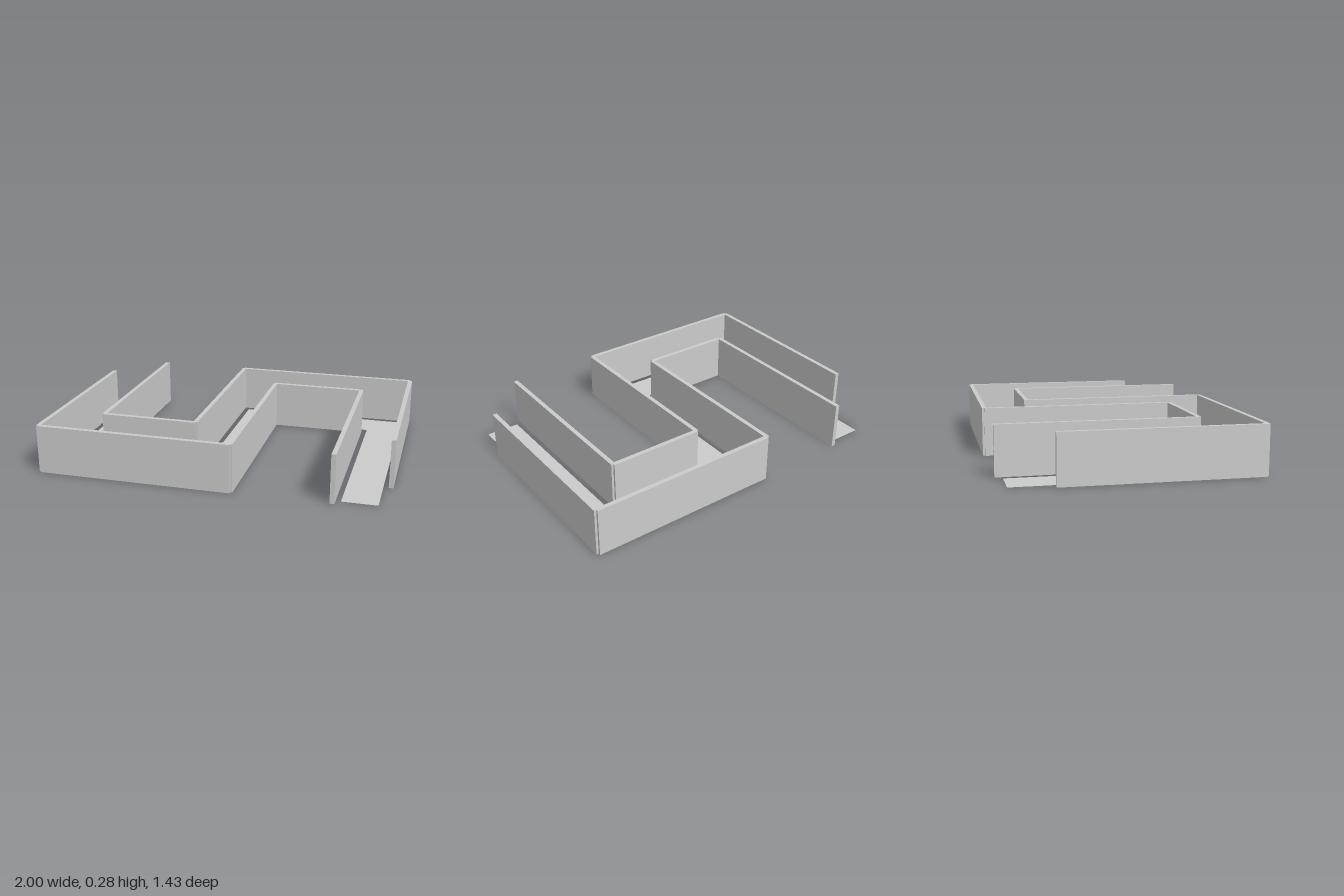
import * as THREE from 'three';

const HEIGHT = 0.283;
const THICK = 0.026;
const LEG_X = 0.845;   // centre line of the outer legs
const BEND_Z = 0.562;  // centre line of the cross runs
const WALL_OFF = 0.142; // wall centre line from corridor centre line
const FLOOR_HALF = 0.1;

export function createModel() {
  const model = new THREE.Group();
  model.name = 'windingCorridor';
  const material = new THREE.MeshStandardMaterial({ color: 0xcccccc, flatShading: true });
  const floorMaterial = material.clone();
  floorMaterial.side = THREE.DoubleSide;

  // One wall panel between two plan points [x, z]; panels end on the corner centre lines
  function addPanel(parent, name, [x0, z0], [x1, z1]) {
    const length = Math.hypot(x1 - x0, z1 - z0);
    const panel = new THREE.Mesh(new THREE.BoxGeometry(length, HEIGHT, THICK), material);
    panel.position.set((x0 + x1) / 2, HEIGHT / 2, (z0 + z1) / 2);
    panel.rotation.y = -Math.atan2(z1 - z0, x1 - x0);
    panel.name = name;
    parent.add(panel);
  }

  // Winding wall line; the second side is the first turned half way round
  const outerX = LEG_X + WALL_OFF, innerX = LEG_X - WALL_OFF;
  const outerZ = BEND_Z + WALL_OFF, innerZ = BEND_Z - WALL_OFF;
  const line = [
    [-outerX, -innerZ], [-outerX, outerZ], [WALL_OFF, outerZ],
    [WALL_OFF, -innerZ], [innerX, -innerZ], [innerX, outerZ],
  ];
  for (const [name, s] of [['frontWall', 1], ['backWall', -1]]) {
    const wall = new THREE.Group();
    wall.name = name;
    const points = line.map(([x, z]) => [x * s, z * s]);
    for (let i = 0; i < points.length - 1; i++) {
      addPanel(wall, `${name}Panel${i + 1}`, points[i], points[i + 1]);
    }
    model.add(wall);
  }

  // Flat S-shaped floor strip between the walls
  const h = FLOOR_HALF;
  const half = [
    [-LEG_X - h, -BEND_Z - h], [-LEG_X - h, BEND_Z + h], [h, BEND_Z + h],
    [h, -BEND_Z + h], [LEG_X - h, -BEND_Z + h], [LEG_X - h, BEND_Z + h],
  ];
  const outline = [...half, ...half.map(([x, z]) => [-x, -z])];
  const shape = new THREE.Shape(outline.map(([x, z]) => new THREE.Vector2(x, -z)));
  const floor = new THREE.Mesh(new THREE.ShapeGeometry(shape).rotateX(-Math.PI / 2), floorMaterial);
  floor.name = 'floor';
  model.add(floor);

  return model;
}
